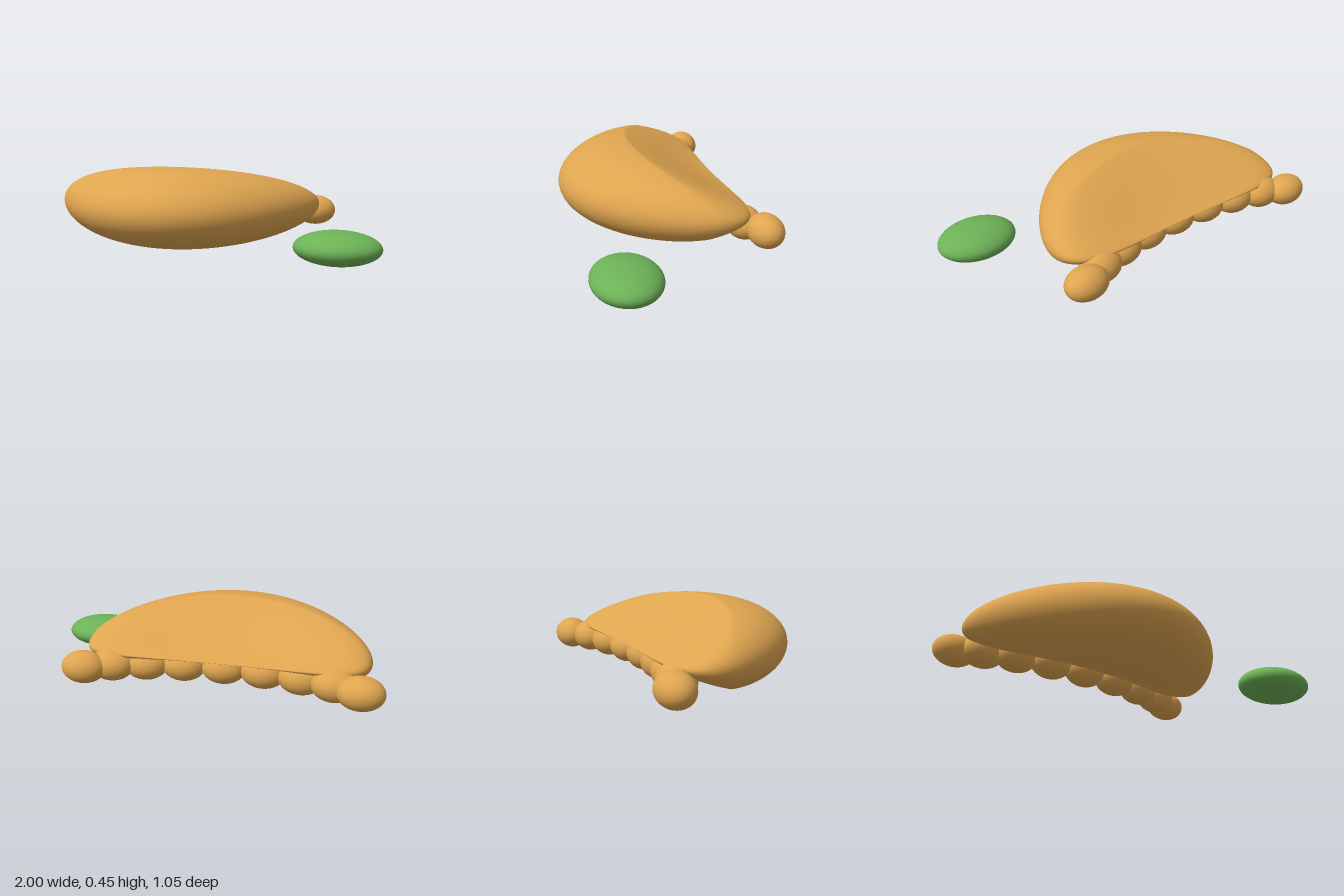
import * as THREE from 'three';
import { mergeVertices } from 'three/addons/utils/BufferGeometryUtils.js';

const dough = new THREE.MeshStandardMaterial({ color: 0xdfa550 });
const green = new THREE.MeshStandardMaterial({ color: 0x6db257 });

function ellipsoid(name, material, radii, position) {
  const mesh = new THREE.Mesh(new THREE.SphereGeometry(1, 40, 28), material);
  mesh.name = name;
  mesh.scale.set(...radii);
  mesh.position.set(...position);
  return mesh;
}

// Crescent body: a sphere with a round front, a pinched back and ends bent backwards
function bodyGeometry() {
  let geo = new THREE.SphereGeometry(1, 96, 64);
  geo.deleteAttribute('uv');
  geo.deleteAttribute('normal');
  geo = mergeVertices(geo, 1e-5);
  const p = geo.attributes.position;
  for (let i = 0; i < p.count; i++) {
    const x = p.getX(i), y = p.getY(i), z = p.getZ(i);
    const pinch = z < 0 ? 1 + 0.92 * z : 1;
    const depth = z < 0 ? 0.5 : 0.41;
    p.setXYZ(i, 0.775 * x, 0.225 * y * pinch, depth * z - 0.31 * x * x);
  }
  geo.computeVertexNormals();
  return geo;
}

export function createModel() {
  const model = new THREE.Group();
  model.name = 'filledDumpling';

  const dumpling = new THREE.Group();
  dumpling.name = 'dumpling';
  dumpling.position.x = -0.145;
  const body = new THREE.Mesh(bodyGeometry(), dough);
  body.name = 'body';
  body.position.set(0, 0.23, 0.11);
  dumpling.add(body);

  // Pleats: nine beads along an arc behind the body
  const pleats = new THREE.Group();
  pleats.name = 'pleats';
  for (let i = -4; i <= 4; i++) {
    const a = (i * Math.PI) / 12;
    const x = 0.843 * Math.sin(a);
    const z = -0.265 - 0.34 * (1 - Math.cos(a));
    pleats.add(ellipsoid('pleat', dough, [0.122, 0.088, 0.095], [x, 0.162, z]));
  }
  dumpling.add(pleats);
  model.add(dumpling);

  // Green garnish resting beside the dumpling
  model.add(ellipsoid('garnish', green, [0.223, 0.088, 0.178], [0.775, 0.091, 0.345]));
  return model;
}
